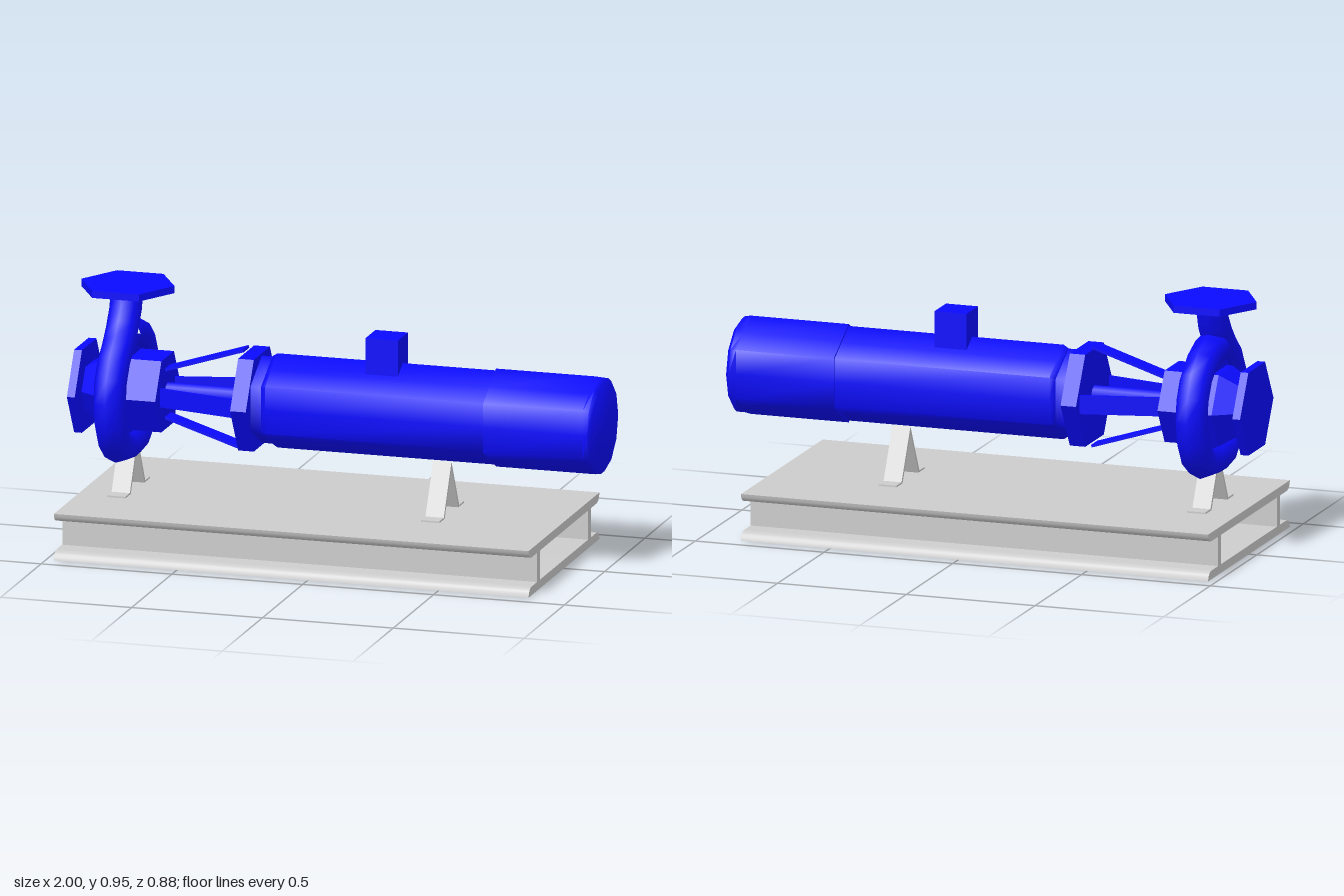
import * as THREE from 'three';
import { toCreasedNormals } from 'three/addons/utils/BufferGeometryUtils.js';

const AXIS = 0.55; // height of the shaft line
const PUMP_X = -0.825;

export function createModel() {
  const model = new THREE.Group();
  const blue = new THREE.MeshStandardMaterial({ color: 0x0a0aff });
  const grey = new THREE.MeshStandardMaterial({ color: 0xcccccc });

  function add(name, geometry, material, x = 0, y = 0, z = 0) {
    const mesh = new THREE.Mesh(geometry, material);
    mesh.name = name;
    mesh.position.set(x, y, z);
    model.add(mesh);
    return mesh;
  }

  // six-sided cylinder along x; corners point to +-z, or to +-y when turned
  function hexAlongX(name, x0, x1, r0, r1 = r0, turned = false) {
    const g = new THREE.CylinderGeometry(r1, r0, x1 - x0, 6, 1, false, turned ? Math.PI / 2 : 0);
    g.rotateZ(-Math.PI / 2);
    return add(name, toCreasedNormals(g, turned ? 1.1 : 0.6), blue, (x0 + x1) / 2, AXIS, 0);
  }

  // skin through twelve-point rings [x, radius, hexagonal?] along the shaft line
  function ringSkin(rings) {
    const n = 12, pos = [], idx = [];
    rings.forEach(([x, r, hex], j) => {
      for (let i = 0; i < n; i++) {
        const a = i / n * Math.PI * 2;
        const k = hex && i % 2 ? r * Math.cos(Math.PI / 6) : r;
        pos.push(x, k * Math.cos(a), k * Math.sin(a));
        if (j > 0) {
          const p = (j - 1) * n + i, q = (j - 1) * n + (i + 1) % n;
          idx.push(p, q, p + n, q, q + n, p + n);
        }
      }
    });
    const g = new THREE.BufferGeometry();
    g.setAttribute('position', new THREE.Float32BufferAttribute(pos, 3));
    g.setIndex(idx);
    return toCreasedNormals(g, 1.1);
  }

  // extrude a (z, y) outline along x
  function extrudeX(shape, length) {
    const g = new THREE.ExtrudeGeometry(shape, { depth: length, bevelEnabled: false, curveSegments: 5 });
    g.translate(0, 0, -length / 2);
    return toCreasedNormals(g.rotateY(Math.PI / 2), 0.6);
  }

  // base frame: two wide flanges with rounded undersides, joined by two webs
  const flange = new THREE.Shape();
  flange.moveTo(-0.44, 0);
  flange.lineTo(0.44, 0);
  flange.quadraticCurveTo(0.435, 0.033, 0.4, 0.033);
  flange.lineTo(-0.4, 0.033);
  flange.quadraticCurveTo(-0.435, 0.033, -0.44, 0);
  const flangeGeo = extrudeX(flange, 1.815);
  add('baseBottomPlate', flangeGeo, grey, -0.0625, 0, 0);
  add('baseTopPlate', flangeGeo, grey, -0.0625, 0.176, 0).rotation.x = Math.PI;
  for (const s of [-1, 1]) {
    add('baseWeb', new THREE.BoxGeometry(1.815, 0.114, 0.034), grey, -0.0625, 0.088, s * 0.317);
  }

  // bent strip supports shaped like an upturned V with feet
  const strip = new THREE.Shape([
    [0.152, 0.174], [0.152, 0.182], [0.096, 0.182], [0, 0.37],
    [-0.096, 0.182], [-0.152, 0.182], [-0.152, 0.174], [-0.086, 0.174],
    [0, 0.345], [0.086, 0.174],
  ].map(([z, y]) => new THREE.Vector2(z, y)));
  for (const x of [-0.82, 0.38]) add('supportLeg', extrudeX(strip, 0.07), grey, x);

  // motor: neck, body and end cover
  hexAlongX('motorFlange', -0.37, -0.31, 0.2);
  hexAlongX('motorNeck', -0.31, -0.24, 0.165, 0.165, true);
  add('motorBody', ringSkin([
    [-0.27, 0, true], [-0.27, 0.165, true], [-0.25, 0.178, true], [0.59, 0.178, true],
  ]), blue, 0, AXIS, 0);
  add('motorEndCover', ringSkin([
    [0.585, 0, true], [0.585, 0.185, true], [0.965, 0.185, true],
    [0.988, 0.181, false], [1, 0.17, false], [1, 0, false],
  ]), blue, 0, AXIS, 0);
  add('terminalBox', new THREE.BoxGeometry(0.124, 0.15, 0.124), blue, 0.167, 0.753, 0);

  // shaft and the four flat struts around it
  const shaft = new THREE.CylinderGeometry(0.036, 0.036, 0.36, 8);
  shaft.rotateZ(Math.PI / 2);
  add('shaft', shaft, blue, -0.51, AXIS, 0);
  for (let i = 0; i < 4; i++) {
    const end = i % 2 ? 0.16 : 0.186;
    const run = 0.3, rise = end - 0.09;
    const g = new THREE.BoxGeometry(Math.hypot(run, rise), 0.01, 0.07);
    g.rotateZ(Math.atan2(rise, run));
    g.translate(-0.52, 0.09 + rise / 2, 0);
    g.rotateX(i * Math.PI / 2);
    add('lanternStrut', g, blue, 0, AXIS, 0);
  }

  // pump casing: inlet flange, cone, core and back cover
  hexAlongX('inletFlange', -1, -0.97, 0.18);
  hexAlongX('inletCone', -0.97, -0.88, 0.095, 0.155);
  hexAlongX('casingCover', -0.88, -0.67, 0.155);
  const core = new THREE.CylinderGeometry(0.21, 0.21, 0.06, 12);
  core.rotateZ(Math.PI / 2);
  add('casingCore', core, blue, PUMP_X, AXIS, 0);

  // spiral casing swept from the outlet round to the tongue, as (z, y) points
  const path = new THREE.CatmullRomCurve3([
    [0, 0.93], [0.022, 0.85], [0.09, 0.76], [0.19, 0.66], [0.218, 0.55], [0.19, 0.43],
    [0.11, 0.358], [0, 0.352], [-0.11, 0.36], [-0.19, 0.43], [-0.218, 0.55],
    [-0.19, 0.65], [-0.14, 0.71], [-0.05, 0.755], [0.03, 0.765],
  ].map(([z, y]) => new THREE.Vector3(0, y, z)));
  add('volute', new THREE.TubeGeometry(path, 20, 0.062, 8, false), blue, PUMP_X, 0, 0);
  add('outletFlange', toCreasedNormals(
    new THREE.CylinderGeometry(0.178, 0.178, 0.027, 6, 1, false, Math.PI / 2), 0.6,
  ), blue, -0.822, 0.938, 0);

  return model;
}
